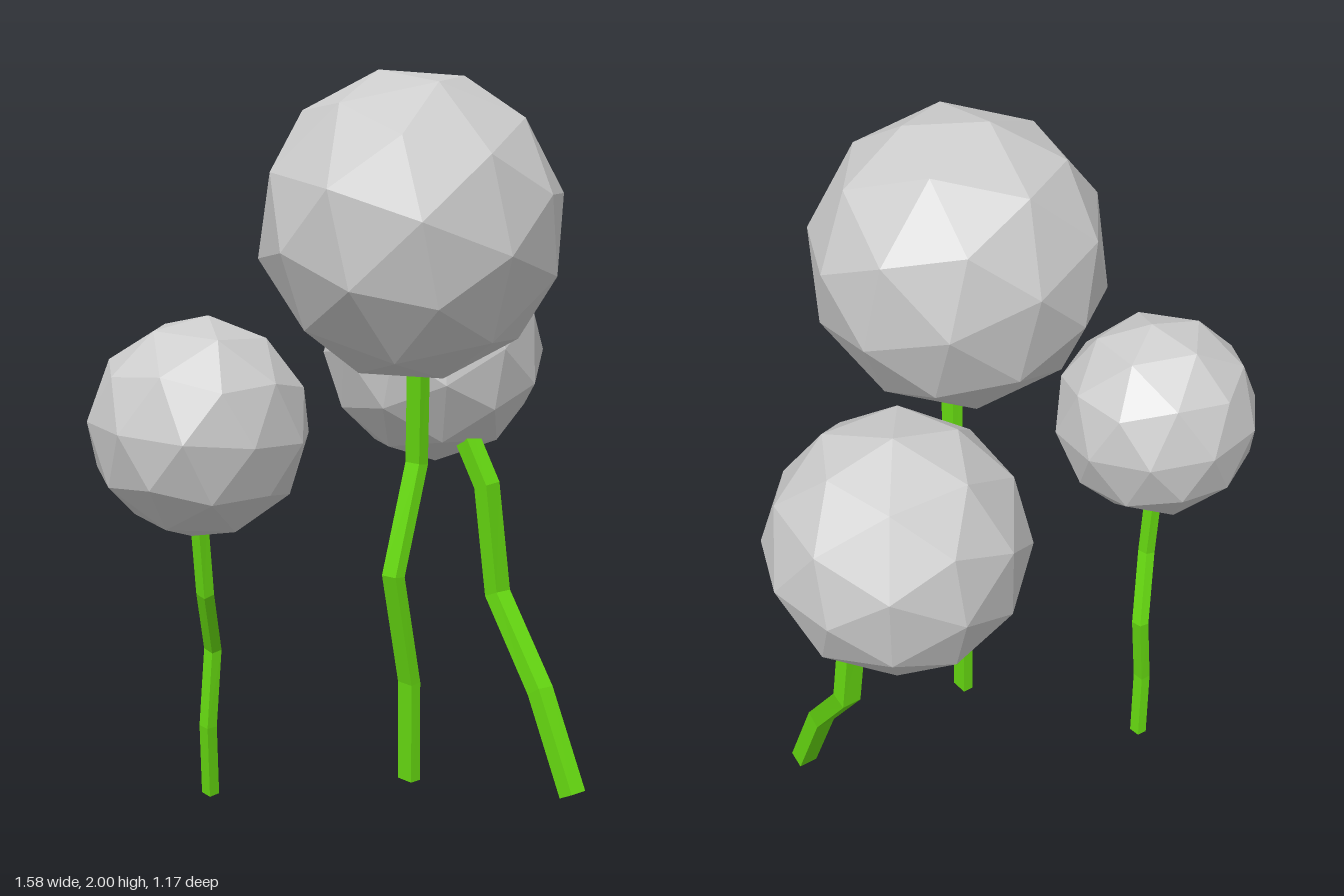
import * as THREE from 'three';

const grey = new THREE.MeshStandardMaterial({ color: 0xcccccc, flatShading: true });
const green = new THREE.MeshStandardMaterial({ color: 0x66d911, flatShading: true });

// Square-section stem swept through a few points, with mitred bends and capped ends
function stemGeometry(points, width, depth) {
  const path = points.map(p => new THREE.Vector3(...p));
  const pos = [], index = [];
  path.forEach((p, i) => {
    const a = path[Math.max(i - 1, 0)], b = path[Math.min(i + 1, path.length - 1)];
    const before = p.clone().sub(a).normalize(), after = b.clone().sub(p).normalize();
    const t = before.add(after).normalize();
    const u = new THREE.Vector3(1, 0, 0);
    u.addScaledVector(t, -u.dot(t)).normalize();
    const v = new THREE.Vector3().crossVectors(u, t);
    for (const [su, sv] of [[-1, -1], [-1, 1], [1, 1], [1, -1]]) {
      const c = p.clone().addScaledVector(u, su * width / 2).addScaledVector(v, sv * depth / 2);
      pos.push(c.x, c.y, c.z);
    }
    if (i === 0) return;
    for (let k = 0; k < 4; k++) {
      const n = (k + 1) % 4, lo = (i - 1) * 4, hi = i * 4;
      index.push(lo + k, lo + n, hi + n, lo + k, hi + n, hi + k);
    }
  });
  const top = (path.length - 1) * 4;
  index.push(0, 2, 1, 0, 3, 2, top, top + 1, top + 2, top, top + 2, top + 3);
  const g = new THREE.BufferGeometry();
  g.setAttribute('position', new THREE.Float32BufferAttribute(pos, 3));
  g.setIndex(index);
  const flat = g.toNonIndexed();
  flat.computeVertexNormals();
  return flat;
}

// Each plant: faceted ball head on a crooked stem (points run bottom to top)
const plants = [
  {
    name: 'tallPlant', centre: [-0.06, 1.618, 0.197], radius: 0.395, turn: [0.35, 0.5, 0.2],
    width: 0.032, depth: 0.052,
    stem: [[-0.06, 0.15, 0.195], [-0.06, 0.42, 0.195], [-0.125, 0.72, 0.203], [-0.017, 1.0, 0.175], [-0.035, 1.32, 0.2]],
  },
  {
    name: 'leaningPlant', centre: [0.465, 1.217, -0.262], radius: 0.326, turn: [0.9, 0.2, 0.6],
    width: 0.056, depth: 0.05,
    stem: [[0.428, 0.02, 0.347], [0.437, 0.29, 0.21], [0.47, 0.53, 0.006], [0.447, 0.85, -0.02], [0.43, 1.06, -0.135]],
  },
  {
    name: 'smallPlant', centre: [-0.51, 1.117, -0.102], radius: 0.284, turn: [0.2, 1.1, 0.4],
    width: 0.031, depth: 0.036,
    stem: [[-0.407, 0.08, -0.224], [-0.425, 0.28, -0.205], [-0.405, 0.49, -0.205], [-0.482, 0.67, -0.13], [-0.505, 0.9, -0.122]],
  },
];

export function createModel() {
  const model = new THREE.Group();
  model.name = 'ballPlants';
  for (const p of plants) {
    const plant = new THREE.Group();
    plant.name = p.name;

    const head = new THREE.Mesh(new THREE.IcosahedronGeometry(p.radius, 1), grey);
    head.name = 'ballHead';
    head.position.set(...p.centre);
    head.rotation.set(...p.turn);

    const stem = new THREE.Mesh(stemGeometry(p.stem, p.width, p.depth), green);
    stem.name = 'stem';

    plant.add(head, stem);
    model.add(plant);
  }
  return model;
}
